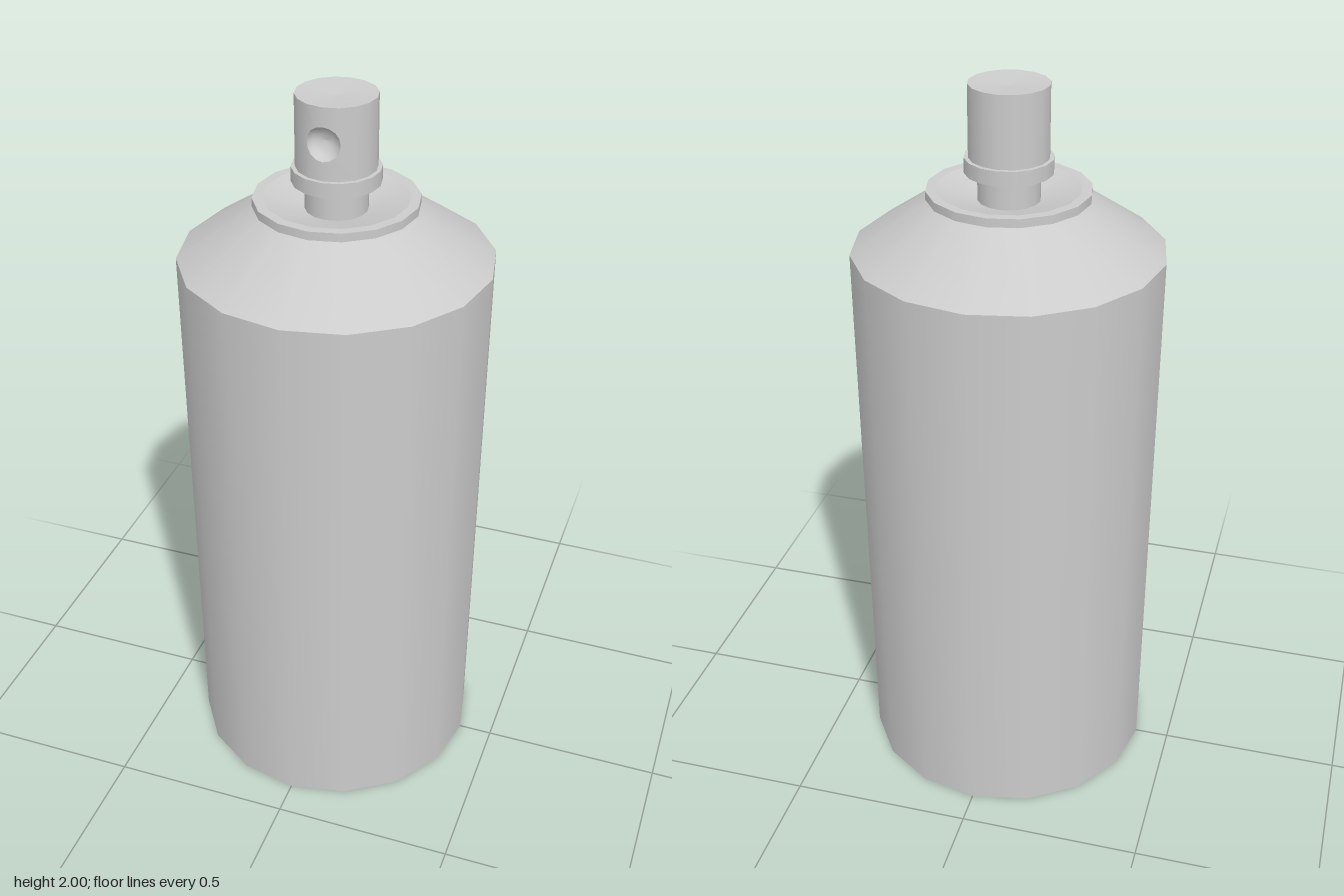
import * as THREE from 'three';
import { mergeGeometries } from 'three/addons/utils/BufferGeometryUtils.js';

const SIDES = 16;
const CAP_R = 0.105, CAP_LOW = 1.81, CAP_TOP = 2.0;
const HOLE_R = 0.045, HOLE_Y = 1.905;

// Turned part: one lathe per profile step, so edges stay sharp and sides smooth
function turned(profile) {
  const bands = [];
  for (let i = 0; i < profile.length - 1; i++) {
    const pair = [profile[i], profile[i + 1]].map(([r, y]) => new THREE.Vector2(r, y));
    bands.push(new THREE.LatheGeometry(pair, SIDES));
  }
  return mergeGeometries(bands);
}

// Skin between consecutive closed loops of points
function loft(loops) {
  const n = loops[0].length, index = [];
  for (let k = 0; k < loops.length - 1; k++) {
    for (let i = 0; i < n; i++) {
      const a = k * n + i, b = k * n + (i + 1) % n;
      index.push(a, b, a + n, b, b + n, a + n);
    }
  }
  const geometry = new THREE.BufferGeometry().setFromPoints(loops.flat());
  geometry.setIndex(index);
  geometry.computeVertexNormals();
  return geometry;
}

const angles = Array.from({ length: SIDES }, (_, i) => (i / SIDES) * Math.PI * 2);

// Point on the cap wall at a turn angle from the front
const onWall = (turn, y) => new THREE.Vector3(CAP_R * Math.sin(turn), y, CAP_R * Math.cos(turn));

// Front quarter of the cap wall, open around the spray hole
function frontPanel() {
  const outer = angles.map((a) => {
    const c = Math.cos(a), s = Math.sin(a), m = Math.max(Math.abs(c), Math.abs(s));
    const u = Math.round((c / m) * 2) / 2, v = Math.round((s / m) * 2) / 2;
    return onWall((u * Math.PI) / 4, (CAP_LOW + CAP_TOP) / 2 + (v * (CAP_TOP - CAP_LOW)) / 2);
  });
  const geometry = loft([outer, holeLoop(1, 0)]);
  // Radial normals join the panel smoothly to the rest of the wall
  const p = geometry.attributes.position, normal = geometry.attributes.normal;
  for (let i = 0; i < p.count; i++) normal.setXYZ(i, p.getX(i) / CAP_R, 0, p.getZ(i) / CAP_R);
  return geometry;
}

function holeLoop(scale, depth) {
  return angles.map((a) => {
    const p = onWall((HOLE_R * scale * Math.cos(a)) / CAP_R, HOLE_Y + HOLE_R * scale * Math.sin(a));
    p.z -= depth;
    return p;
  });
}

export function createModel() {
  const model = new THREE.Group();
  const material = new THREE.MeshStandardMaterial({ color: 0xcccccc });

  function add(name, geometry, parent = model) {
    const mesh = new THREE.Mesh(geometry, material);
    mesh.name = name;
    parent.add(mesh);
  }

  // Slightly flared can with a closed base
  add('canBody', turned([[0, 0], [0.405, 0], [0.416, 1.56]]));
  add('shoulder', turned([[0.416, 1.56], [0.207, 1.703]]));

  // Rim with a shallow dish around the stem
  add('rim', turned([[0.207, 1.703], [0.216, 1.703], [0.216, 1.726], [0.19, 1.726], [0.07, 1.692]]));
  add('stem', turned([[0.082, 1.68], [0.082, 1.77]]));

  // Spray button
  const button = new THREE.Group();
  button.name = 'sprayButton';
  model.add(button);
  add('collar', turned([[0, 1.77], [0.116, 1.77], [0.116, CAP_LOW], [0.1, CAP_LOW]]), button);
  add('buttonWall', new THREE.CylinderGeometry(CAP_R, CAP_R, CAP_TOP - CAP_LOW, 12, 1, true,
    Math.PI / 4, Math.PI * 1.5).translate(0, (CAP_LOW + CAP_TOP) / 2, 0), button);
  add('buttonFront', frontPanel(), button);
  add('buttonTop', turned([[CAP_R, CAP_TOP], [0, CAP_TOP - 0.008]]), button);

  // Hollow nozzle in the front of the button
  add('nozzle', loft([holeLoop(1, 0), holeLoop(0.75, 0.018), holeLoop(0.4, 0.027), holeLoop(0.001, 0.03)]), button);

  return model;
}
